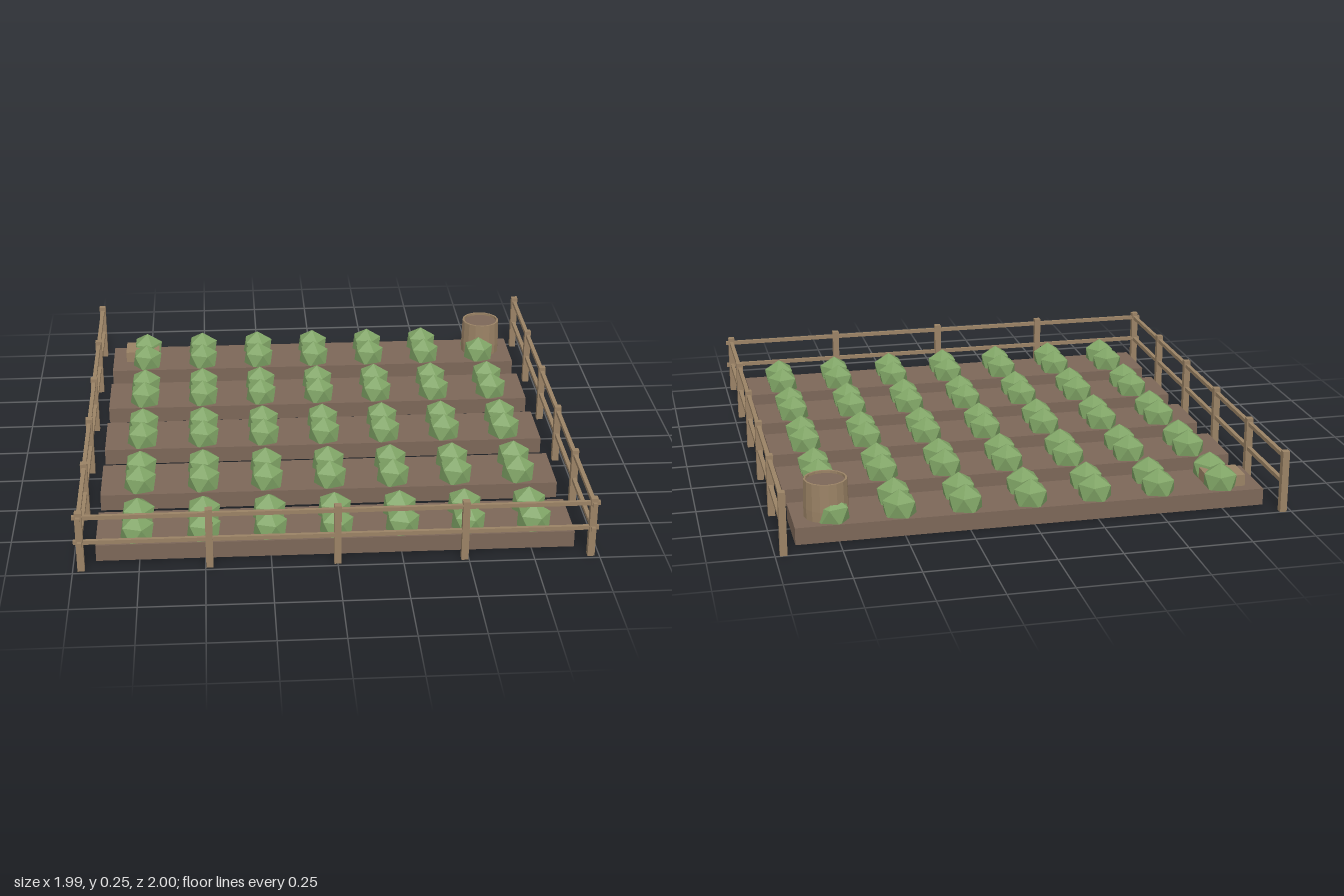
import * as THREE from 'three';

export function createModel() {
  const model = new THREE.Group();
  model.name = 'gardenPlot';

  const material = (name, color) => {
    const m = new THREE.MeshStandardMaterial({ color, flatShading: true });
    m.name = name;
    return m;
  };
  const soil = material('soil', 0x7c6758);
  const wood = material('wood', 0x9a8265);
  const leaf = material('leaf', 0x7fa365);

  const add = (parent, name, geometry, mat, x, y, z) => {
    const mesh = new THREE.Mesh(geometry, mat);
    mesh.name = name;
    mesh.position.set(x, y, z);
    parent.add(mesh);
    return mesh;
  };
  const group = (name) => {
    const g = new THREE.Group();
    g.name = name;
    model.add(g);
    return g;
  };

  // Raised beds, each with two rows of seven plants
  const bedGeo = new THREE.BoxGeometry(1.83, 0.067, 0.257);
  const plantGeo = new THREE.IcosahedronGeometry(0.073, 0);
  plantGeo.rotateZ(-Math.atan(2 / (1 + Math.sqrt(5)))); // one corner straight up
  for (let i = -2; i <= 2; i++) {
    const bed = group('plantedBed');
    const z = i * 0.393;
    add(bed, 'soilBed', bedGeo, soil, 0, 0.0355, z);
    for (let j = -3; j <= 3; j++) {
      for (const s of [-1, 1]) {
        add(bed, 'plant', plantGeo, leaf, j * 0.254 + 0.003, 0.092, z + s * 0.064);
      }
    }
  }

  // Fence along the front and both sides, open at the back
  const fence = group('fence');
  const postGeo = new THREE.BoxGeometry(0.027, 0.248, 0.027);
  const sideRail = new THREE.BoxGeometry(0.016, 0.016, 2);
  const frontRail = new THREE.BoxGeometry(1.985, 0.016, 0.014);
  const frontZ = 0.973, sideX = 0.968, railHeights = [0.12, 0.225];
  for (const s of [-1, 1]) {
    for (let i = 0; i < 6; i++) {
      add(fence, 'sidePost', postGeo, wood, s * sideX, 0.124, frontZ - i * 0.392);
    }
    for (const y of railHeights) add(fence, 'sideRail', sideRail, wood, s * sideX, y, 0);
  }
  for (let i = -1; i <= 1; i++) {
    add(fence, 'frontPost', postGeo, wood, i * 0.484, 0.124, frontZ);
  }
  for (const y of railHeights) add(fence, 'frontRail', frontRail, wood, 0, y, frontZ);

  // Barrel with a raised rim and a sunken dark top
  const barrel = group('barrel');
  barrel.position.set(0.783, 0, -0.806);
  const profile = [[0, 0], [0.083, 0], [0.086, 0.11], [0.083, 0.218], [0.075, 0.218], [0.075, 0.2]]
    .map(([x, y]) => new THREE.Vector2(x, y));
  add(barrel, 'barrelStaves', new THREE.LatheGeometry(profile, 16), wood, 0, 0, 0);
  add(barrel, 'barrelTop', new THREE.CylinderGeometry(0.076, 0.076, 0.008, 16), soil, 0, 0.204, 0);

  // Small crate sunk into the back bed
  add(model, 'crate', new THREE.BoxGeometry(0.15, 0.115, 0.115), wood, -0.78, 0.0575, -0.812);

  return model;
}
